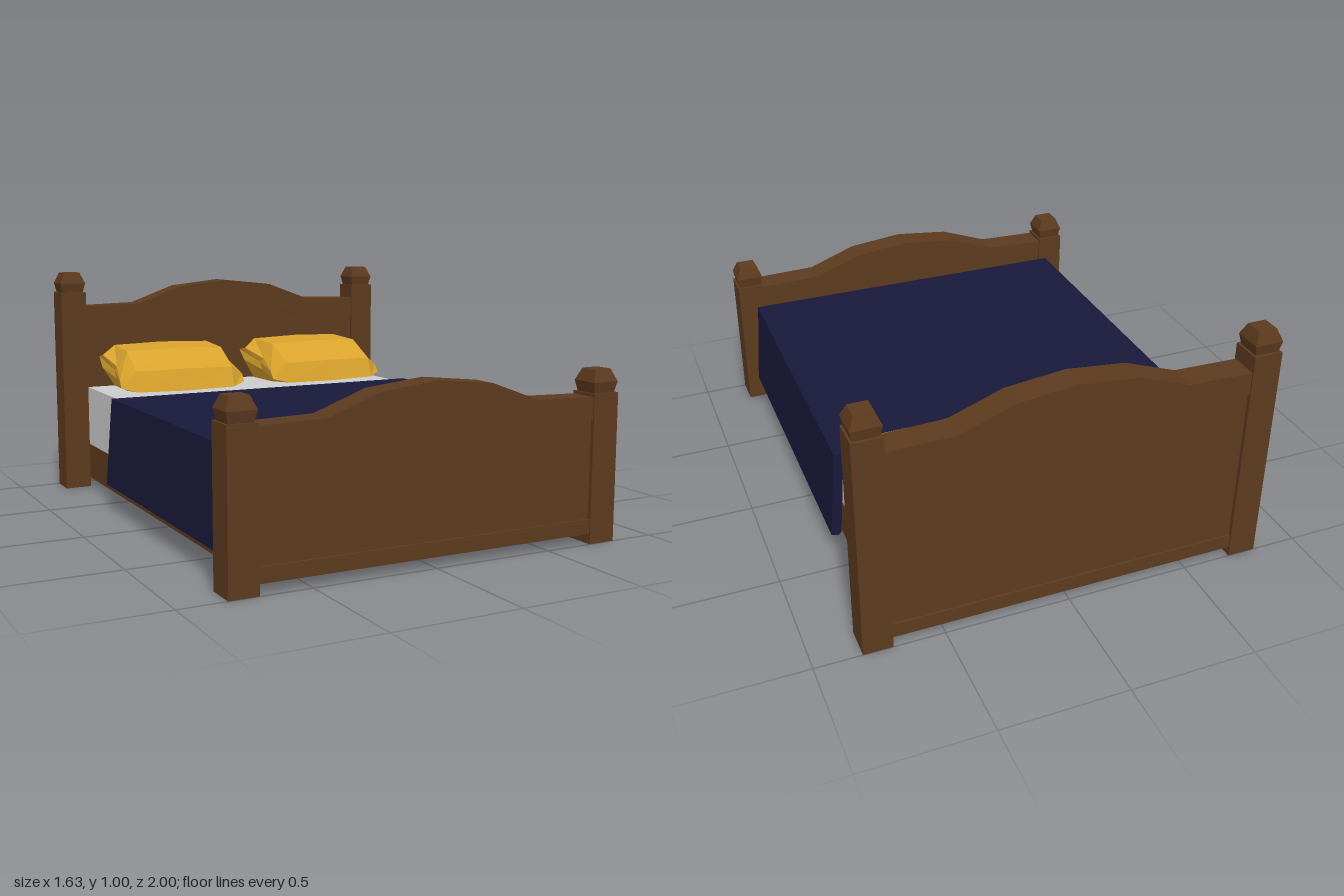
import * as THREE from 'three';

const material = (color, extra = {}) => new THREE.MeshStandardMaterial({ color, flatShading: true, ...extra });
const wood = material(0x5c3a1e);
const navy = material(0x18193a);
const gold = material(0xd8a22c);
const grey = material(0xcccccc);

function add(parent, name, geometry, mat, x = 0, y = 0, z = 0) {
  const mesh = new THREE.Mesh(geometry, mat);
  mesh.name = name;
  mesh.position.set(x, y, z);
  parent.add(mesh);
  return mesh;
}

// box given by its low and high corners
function addBox(parent, name, [x0, y0, z0], [x1, y1, z1], mat) {
  const geometry = new THREE.BoxGeometry(x1 - x0, y1 - y0, z1 - z0);
  return add(parent, name, geometry, mat, (x0 + x1) / 2, (y0 + y1) / 2, (z0 + z1) / 2);
}

// left-to-right outline of a symmetric arch from its right half
const mirrorArch = (half) => [...half.slice(1).reverse().map(([x, y]) => [-x, y]), ...half];

function extrudeOutline(points, depth) {
  const shape = new THREE.Shape(points.map(([x, y]) => new THREE.Vector2(x, y)));
  return new THREE.ExtrudeGeometry(shape, { depth, bevelEnabled: false }).translate(0, 0, -depth / 2);
}

// four-sided cap that flares out and then tapers in
function capGeometry() {
  const profile = [[0, 0], [0.048, 0], [0.057, 0.042], [0.037, 0.09], [0, 0.09]]
    .map(([r, y]) => new THREE.Vector2(r * Math.SQRT2, y));
  return new THREE.LatheGeometry(profile, 4).rotateY(Math.PI / 4);
}

// arched end board with two posts; lift raises the arch and the posts
function endBoard(name, z, lift) {
  const board = new THREE.Group();
  board.name = name;
  board.position.z = z;
  const upper = mirrorArch([[0, 0.68], [0.235, 0.655], [0.44, 0.58], [0.705, 0.573]]).map(([x, y]) => [x, y + lift]);
  const lower = mirrorArch([[0, 0.565], [0.235, 0.543], [0.44, 0.49], [0.705, 0.485]]).map(([x, y]) => [x, y + lift]);
  add(board, 'archedRail', extrudeOutline([...lower, ...upper.slice().reverse()], 0.112), wood);
  add(board, 'panel', extrudeOutline([[-0.705, 0.09], [0.705, 0.09], ...lower.slice().reverse()], 0.092), wood);
  addBox(board, 'bottomRail', [-0.705, 0.04, -0.056], [0.705, 0.098, 0.056], wood);
  for (const side of [-1, 1]) {
    const top = 0.585 + lift * 1.2;
    add(board, 'post', new THREE.BoxGeometry(0.115, top, 0.124), wood, side * 0.758, top / 2, 0);
    add(board, 'postCap', capGeometry(), wood, side * 0.758, top, 0);
  }
  return board;
}

// soft pillow lofted through tilted sections from end to end
function pillowGeometry() {
  const section = [[0.21, -0.085], [0.18, 0.01], [0.045, 0.093], [-0.145, 0.105], [-0.22, 0.02], [-0.155, -0.1], [0.03, -0.1]];
  const stations = [[-0.29, 0.8, 0.3], [-0.225, 1, 0.93], [0, 0.95, 1], [0.225, 1, 0.93], [0.29, 0.8, 0.3]];
  const n = section.length;
  const positions = [];
  const index = [];
  stations.forEach(([x, depth, height], i) => {
    const isEnd = i === 0 || i === stations.length - 1;
    for (const [z, y] of section) {
      const pinch = isEnd && Math.abs(z) < 0.1 ? 0.93 : 1;
      const seam = isEnd ? -z * 0.18 : 0;
      positions.push(x * pinch, y * height + seam, z * depth);
    }
  });
  for (let i = 0; i < stations.length - 1; i++) {
    for (let j = 0; j < n; j++) {
      const a = i * n + j;
      const b = i * n + (j + 1) % n;
      index.push(a, a + n, b + n, a, b + n, b);
    }
  }
  // end faces
  const last = (stations.length - 1) * n;
  const centre = positions.length / 3;
  positions.push(-0.27, 0, 0, 0.27, 0, 0);
  for (let j = 0; j < n; j++) {
    const k = (j + 1) % n;
    index.push(centre, j, k, centre + 1, last + k, last + j);
  }
  const geometry = new THREE.BufferGeometry();
  geometry.setAttribute('position', new THREE.Float32BufferAttribute(positions, 3));
  geometry.setIndex(index);
  geometry.computeVertexNormals();
  return geometry;
}

export function createModel() {
  const bed = new THREE.Group();
  bed.name = 'bed';

  // head and foot ends
  bed.add(endBoard('headboard', -0.938, 0.27));
  bed.add(endBoard('footboard', 0.938, 0));

  // base and mattress
  addBox(bed, 'bedBase', [-0.7, 0.042, -0.89], [0.7, 0.2, 0.89], wood);
  addBox(bed, 'mattress', [-0.697, 0.2, -0.89], [0.697, 0.468, 0.89], grey);

  // blanket draped over the mattress, flaring at the hem
  const drape = [[0.698, 0.46], [0.725, 0.11], [0.737, 0.095], [0.766, 0.105], [0.735, 0.477]];
  const outline = [...drape, ...drape.slice().reverse().map(([x, y]) => [-x, y])];
  add(bed, 'blanket', extrudeOutline(outline, 1.303), navy, 0, 0, 0.2255);

  // pillows
  add(bed, 'rightPillow', pillowGeometry(), gold, -0.37, 0.57, -0.658).rotation.y = -0.03;
  add(bed, 'leftPillow', pillowGeometry(), gold, 0.345, 0.57, -0.665).rotation.y = 0.05;

  return bed;
}
